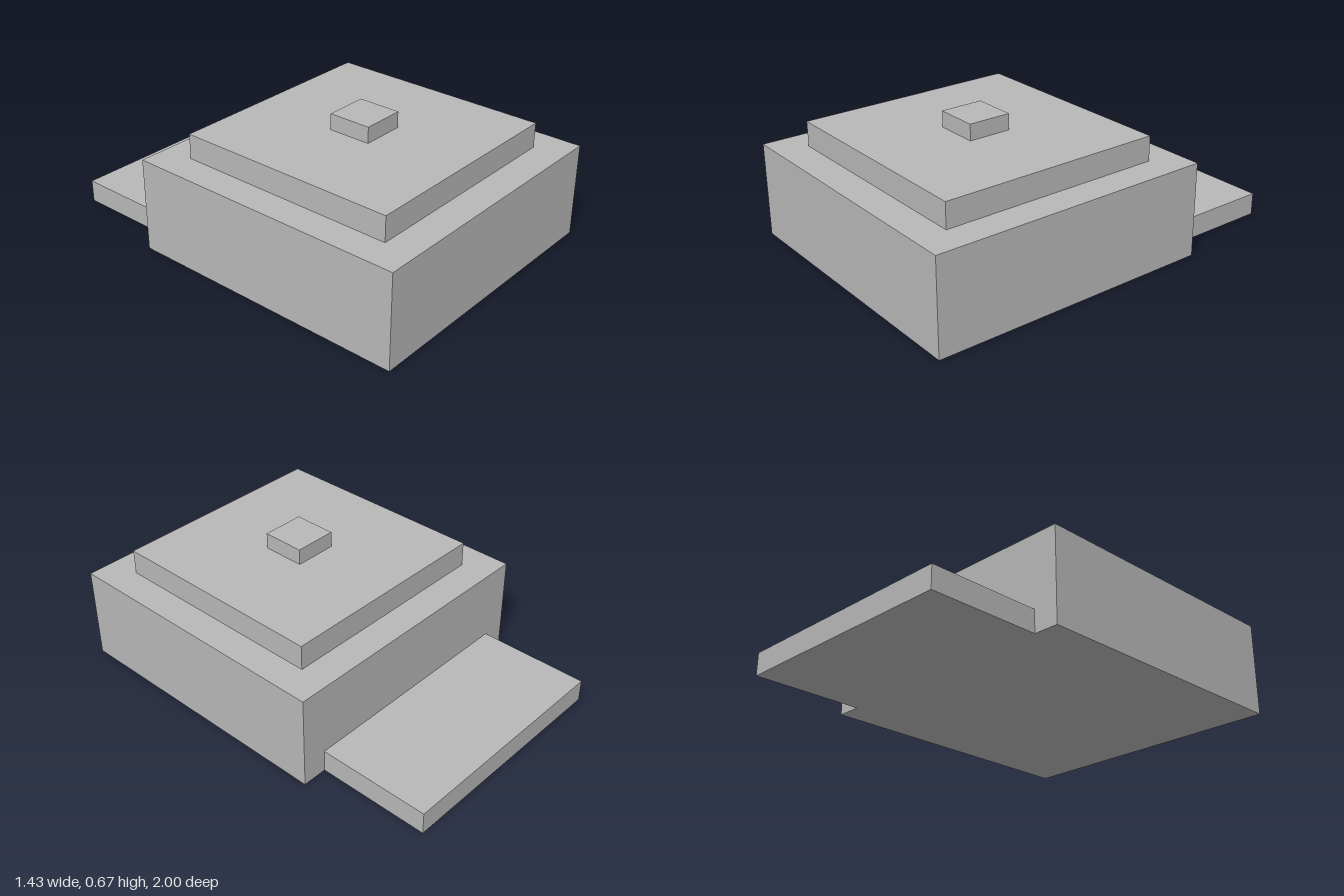
import * as THREE from 'three';

export function createModel() {
  const model = new THREE.Group();
  model.name = 'steppedBuilding';

  const stone = new THREE.MeshStandardMaterial({ color: 0xb8b8b8 });
  stone.name = 'plain grey';

  // Block given by its half width, height range and depth range
  function block(name, halfWidth, y0, y1, z0, z1) {
    const mesh = new THREE.Mesh(new THREE.BoxGeometry(halfWidth * 2, y1 - y0, z1 - z0), stone);
    mesh.name = name;
    mesh.position.set(0, (y0 + y1) / 2, (z0 + z1) / 2);
    model.add(mesh);
  }

  block('mainBody', 0.717, 0, 0.47, -0.436, 1);
  block('upperTier', 0.563, 0.47, 0.594, -0.28, 0.843);
  block('roofCap', 0.109, 0.594, 0.674, 0.172, 0.39);
  block('rearPlatform', 0.592, 0, 0.112, -1, -0.436);

  return model;
}
